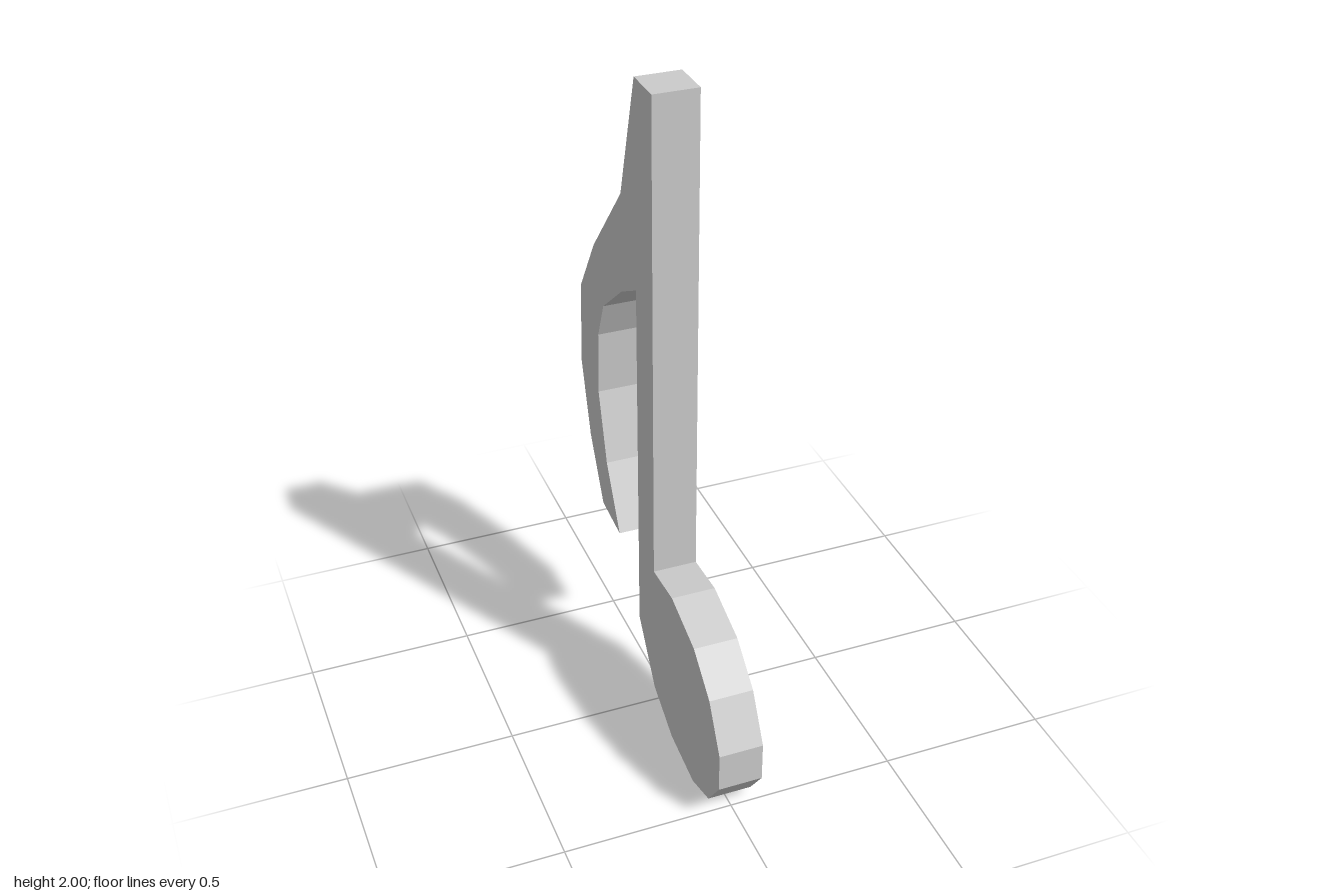
import * as THREE from 'three';

const WIDTH = 0.13;

// Side outline as [distance towards the back, height], clockwise from the stem top
const stemTop = [[-0.056, 2], [0.069, 2]];
const flagOuter = [[0.182, 1.63], [0.418, 1.365], [0.545, 1.174], [0.562, 0.91], [0.492, 0.68], [0.386, 0.49]];
const flagInner = [[0.238, 0.474], [0.344, 0.665], [0.406, 0.882], [0.396, 1.083], [0.345, 1.204], [0.185, 1.333], [0.069, 1.395]];
const stemFoot = [[0.069, 0.28], [-0.058, 0.105]];
const head = [[-0.2, 0.028], [-0.37, 0], [-0.488, 0.038], [-0.562, 0.14], [-0.562, 0.262], [-0.484, 0.4], [-0.368, 0.495], [-0.2, 0.548], [-0.056, 0.539]];

export function createModel() {
  const group = new THREE.Group();
  group.name = 'eighthNote';

  // One flat-sided solid: stem, curved flag and rounded head in a single outline
  const outline = [...stemTop, ...flagOuter, ...flagInner, ...stemFoot, ...head];
  const shape = new THREE.Shape(outline.map(([back, y]) => new THREE.Vector2(back, y)));
  const geometry = new THREE.ExtrudeGeometry(shape, { depth: WIDTH, bevelEnabled: false });
  geometry.translate(0, 0, -WIDTH / 2);
  geometry.rotateY(Math.PI / 2); // the outline's back side turns to -z

  const note = new THREE.Mesh(geometry, new THREE.MeshStandardMaterial({ color: 0xcccccc, flatShading: true }));
  note.name = 'noteBody';
  group.add(note);
  return group;
}
